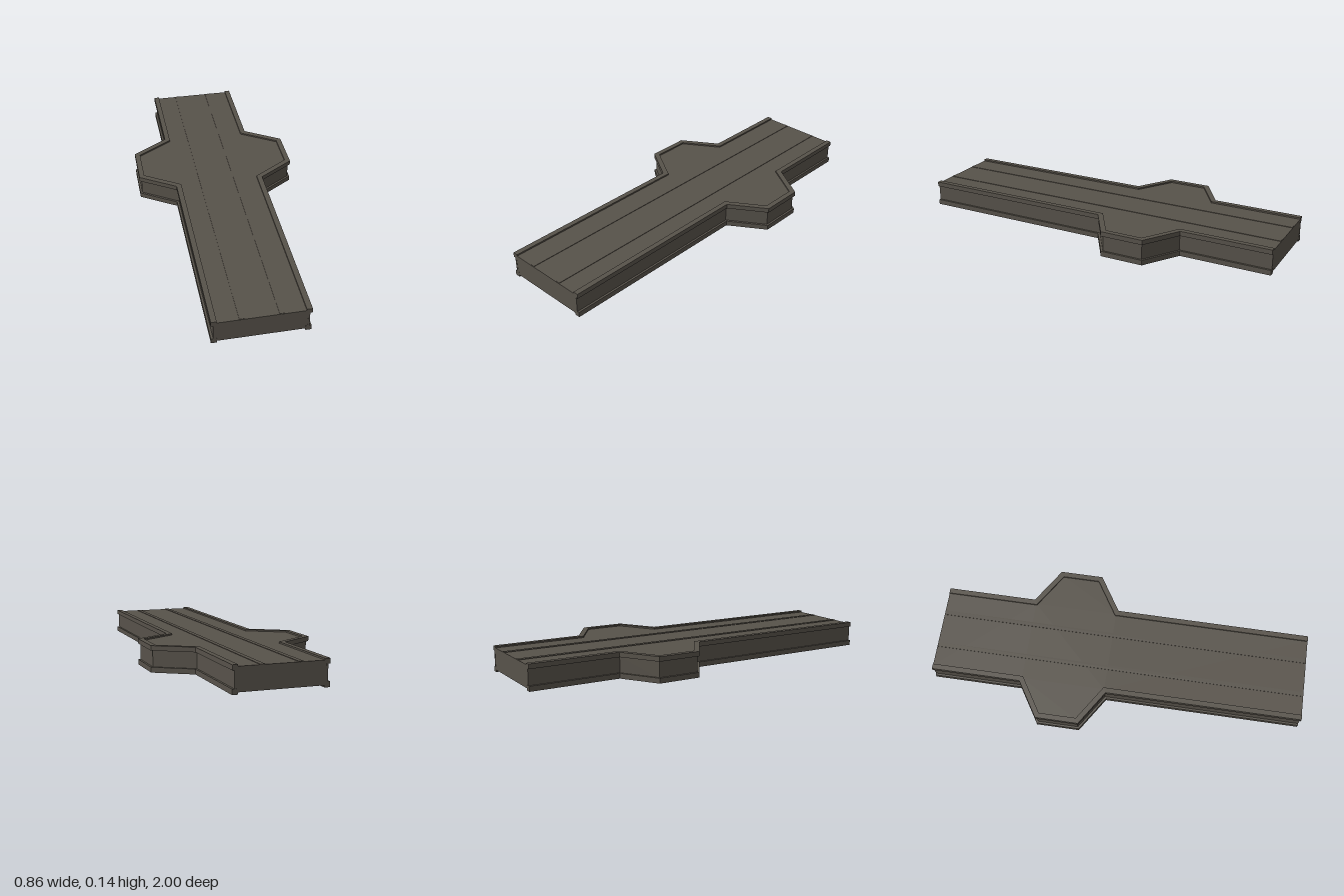
import * as THREE from 'three';

const EDGE = [[0.24, 1], [0.24, -0.05], [0.43, -0.17], [0.43, -0.4], [0.24, -0.52], [0.24, -1]];
const MITRE = [0, -0.55, -0.55, 0.55, 0.55, 0];

// side outline moved inward by d, mirrored by side (+1 or -1)
const edge = (side, d) => EDGE.map(([x, z], i) => [side * (x - d), z + MITRE[i] * d]);

export function createModel() {
  const model = new THREE.Group();
  const steel = new THREE.MeshStandardMaterial({ color: 0x57524a });
  steel.name = 'dark steel';

  const add = (name, geometry, parent = model) => {
    const mesh = new THREE.Mesh(geometry, steel);
    mesh.name = name;
    parent.add(mesh);
    return mesh;
  };

  // horizontal slab with a plan outline of [x, z] points, from y0 to y1
  const slab = (name, points, y0, y1, parent) => {
    const shape = new THREE.Shape(points.map(([x, z]) => new THREE.Vector2(x, -z)));
    const geo = new THREE.ExtrudeGeometry(shape, { depth: y1 - y0, bevelEnabled: false });
    geo.rotateX(-Math.PI / 2).translate(0, y0, 0);
    return add(name, geo, parent);
  };

  const box = (name, x0, x1, y0, y1, z0, z1, parent) => {
    const geo = new THREE.BoxGeometry(x1 - x0, y1 - y0, z1 - z0);
    geo.translate((x0 + x1) / 2, (y0 + y1) / 2, (z0 + z1) / 2);
    return add(name, geo, parent);
  };

  // road deck, open underneath
  slab('deck', [...edge(1, 0.02), ...edge(-1, 0.02).reverse()], 0.116, 0.127);

  // I-beams following both sides
  for (const side of [1, -1]) {
    const beam = new THREE.Group();
    beam.name = side > 0 ? 'leftEdgeBeam' : 'rightEdgeBeam';
    model.add(beam);
    const strip = (name, a, b, y0, y1) =>
      slab(name, [...edge(side, a), ...edge(side, b).reverse()], y0, y1, beam);
    strip('topFlange', 0, 0.028, 0.11, 0.135);
    strip('web', 0.011, 0.019, 0.025, 0.112);
    strip('bottomFlange', 0, 0.028, 0, 0.027);
  }

  // end plates
  for (const s of [1, -1]) {
    box('endPlate', -0.228, 0.228, 0.01, 0.1265, s > 0 ? 0.99 : -0.999, s > 0 ? 0.999 : -0.99);
  }

  // lengthwise girders, with a seam rib showing on the deck
  for (const s of [1, -1]) {
    const girder = new THREE.Group();
    girder.name = 'girder';
    model.add(girder);
    const x = s * 0.095;
    box('seamRib', x - 0.012, x + 0.012, 0.12, 0.1295, -0.998, 0.998, girder);
    box('girderWeb', x - 0.005, x + 0.005, 0.05, 0.118, -0.99, 0.99, girder);
    box('girderFlange', x - 0.014, x + 0.014, 0.045, 0.055, -0.99, 0.99, girder);
    // vertical stiffeners
    for (let z = -0.9; z < 0.95; z += 0.1) {
      box('stiffener', x - 0.014, x + 0.014, 0.05, 0.118, z - 0.005, z + 0.005, girder);
    }
    // inner wall of the side bay
    box('bayWall', s * 0.2 - 0.005, s * 0.2 + 0.005, 0.03, 0.118, -0.46, -0.11, girder);
  }

  // cross beams
  for (const z of [-0.72, -0.5, -0.07, 0.2, 0.72]) {
    box('crossBeam', -0.222, 0.222, 0.05, 0.118, z - 0.006, z + 0.006);
  }

  // stepped blocks hanging under the deck
  const plan = [[-0.08, -0.13], [0.02, -0.13], [0.02, -0.08], [0.08, -0.05], [0.08, 0.06],
    [0.03, 0.06], [0.03, 0.13], [-0.05, 0.13], [-0.05, 0.05], [-0.08, 0.02]];
  [[0.46, 1], [-0.6, -1]].forEach(([z, s]) => {
    slab('underdeckBlock', plan.map(([px, pz]) => [px * s, pz * s + z]), 0.035, 0.118);
  });

  return model;
}
